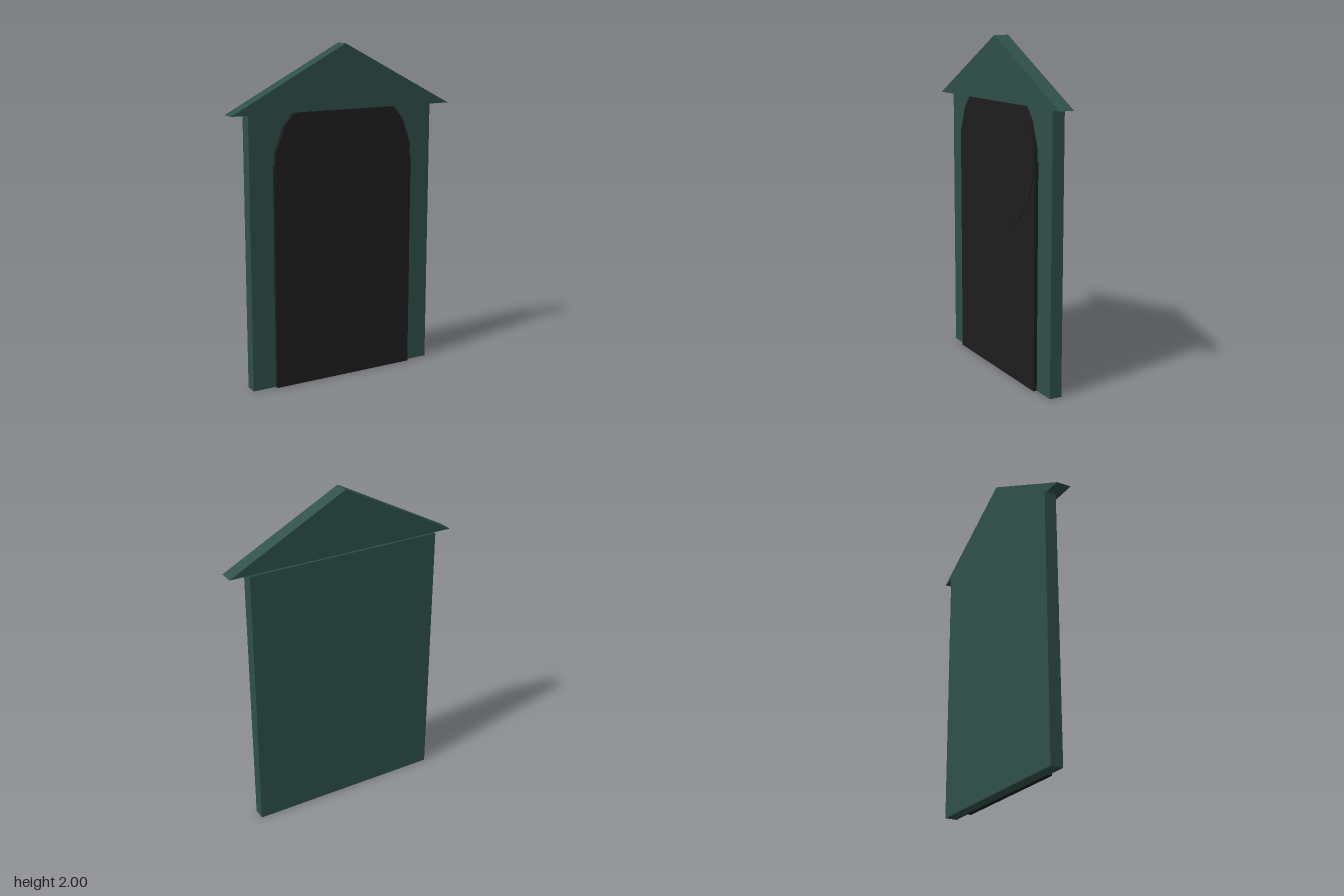
import * as THREE from 'three';

export function createModel() {
  const model = new THREE.Group();
  const green = new THREE.MeshStandardMaterial({ color: 0x2f5049 });
  green.name = 'dark green';
  const black = new THREE.MeshStandardMaterial({ color: 0x1e1e1e });
  black.name = 'near black';

  const add = (name, geometry, material, x, y, z) => {
    const mesh = new THREE.Mesh(geometry, material);
    mesh.name = name;
    mesh.position.set(x, y, z);
    model.add(mesh);
  };

  // Wall panel
  add('wall', new THREE.BoxGeometry(1.2, 1.625, 0.075), green, 0, 0.8125, -0.0145);

  // Triangular gable roof, overhanging the wall at both sides
  const gable = new THREE.Shape([
    new THREE.Vector2(-0.713, 0),
    new THREE.Vector2(0.713, 0),
    new THREE.Vector2(0, 0.375),
  ]);
  const roof = new THREE.ExtrudeGeometry(gable, { depth: 0.09, bevelEnabled: false });
  add('gableRoof', roof, green, 0, 1.625, -0.038);

  // Doorway: flat slab with a slightly thicker disc forming the arch
  add('doorway', new THREE.BoxGeometry(0.91, 1.325, 0.03), black, 0, 0.6625, 0.03);
  const disc = new THREE.CylinderGeometry(0.452, 0.452, 0.03, 18).rotateX(Math.PI / 2);
  add('doorwayArch', disc, black, 0, 1.322, 0.0345);

  return model;
}
